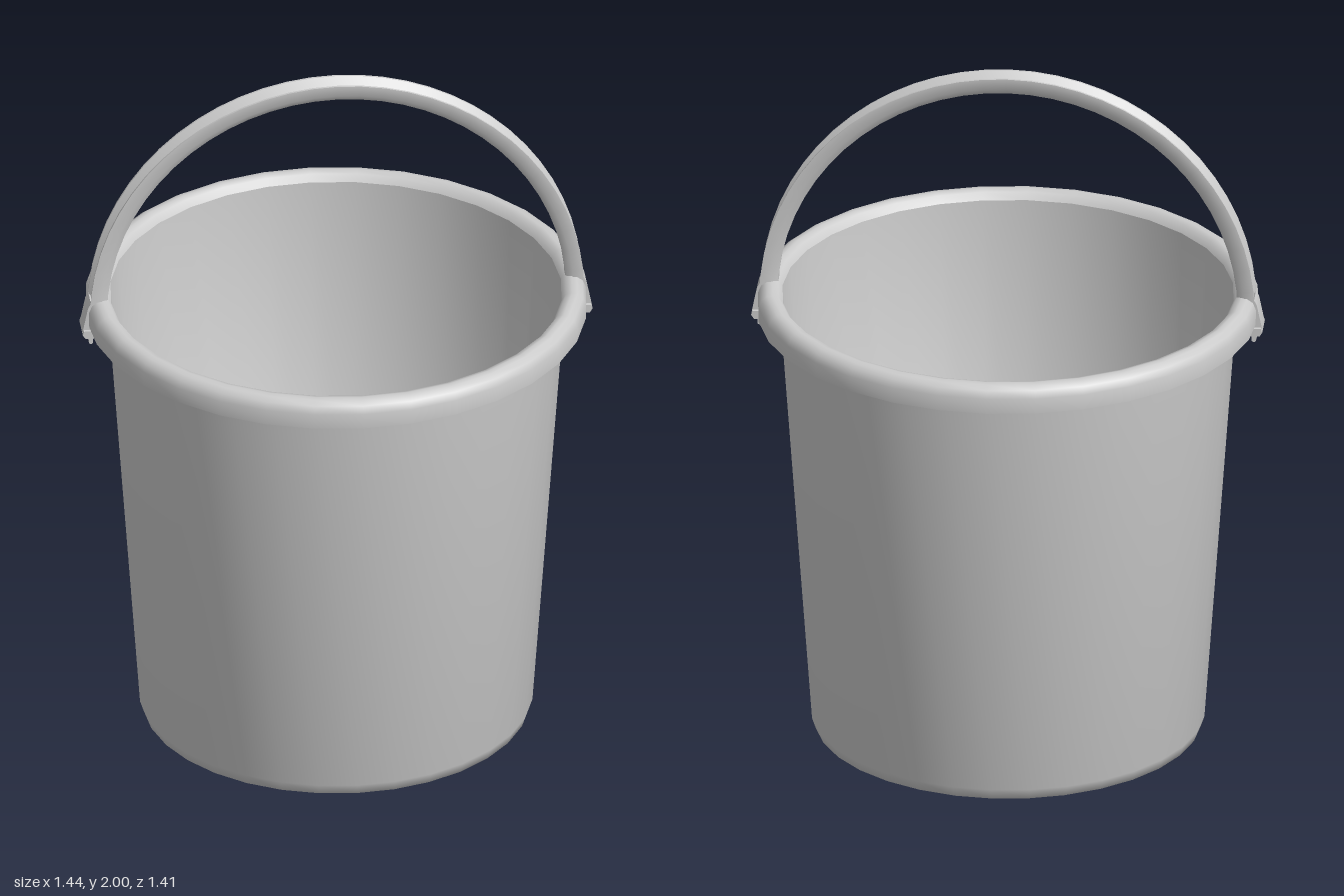
import * as THREE from 'three';
import { toCreasedNormals } from 'three/addons/utils/BufferGeometryUtils.js';

const material = new THREE.MeshStandardMaterial({ color: 0xcccccc, side: THREE.DoubleSide });

function addMesh(parent, name, geometry, crease = 0.75) {
  const mesh = new THREE.Mesh(toCreasedNormals(geometry, crease), material);
  mesh.name = name;
  parent.add(mesh);
  return mesh;
}

const lathe = (points) =>
  new THREE.LatheGeometry(points.map(([r, y]) => new THREE.Vector2(r, y)), 32);

// Sweeps a closed (z, radial offset) section around a half circle in the xy plane
function sweepArch(section, radius, centreY, steps) {
  const positions = [], indices = [], n = section.length;
  for (let i = 0; i <= steps; i++) {
    const a = (Math.PI * i) / steps;
    for (const [z, r] of section) {
      positions.push((radius + r) * Math.cos(a), centreY + (radius + r) * Math.sin(a), z);
    }
  }
  for (let i = 0; i < steps; i++) {
    for (let j = 0; j < n; j++) {
      const a = i * n + j, b = i * n + ((j + 1) % n);
      indices.push(a, b, b + n, a, b + n, a + n);
    }
  }
  const geometry = new THREE.BufferGeometry();
  geometry.setAttribute('position', new THREE.Float32BufferAttribute(positions, 3));
  geometry.setIndex(indices);
  return geometry;
}

// Extrudes an xy outline symmetrically about z = 0
function extrudeCentred(outline, width) {
  const shape = new THREE.Shape(outline.map(([x, y]) => new THREE.Vector2(x, y)));
  const geometry = new THREE.ExtrudeGeometry(shape, { depth: width, bevelEnabled: false });
  return geometry.translate(0, 0, -width / 2);
}

export function createModel() {
  const bucket = new THREE.Group();
  bucket.name = 'bucket';

  // Tapered wall with rounded bottom edge and inner floor
  addMesh(bucket, 'body', lathe([
    [0, 0], [0.525, 0], [0.545, 0.01], [0.555, 0.04], [0.647, 1.32],
    [0.637, 1.325], [0.54, 0.06], [0.515, 0.03], [0, 0.03],
  ]), 0.9);

  // Rolled lip, hollow beneath, hanging outside the wall
  addMesh(bucket, 'rim', lathe([
    [0.645, 1.3], [0.648, 1.325], [0.68, 1.33], [0.695, 1.315], [0.698, 1.27],
    [0.706, 1.27], [0.707, 1.315], [0.698, 1.337], [0.682, 1.348], [0.667, 1.35],
    [0.65, 1.345], [0.637, 1.325],
  ]));

  // Grooved arched handle
  const handle = new THREE.Group();
  handle.name = 'handle';
  bucket.add(handle);
  addMesh(handle, 'handleArch', sweepArch([
    [0.035, 0], [0.028, 0], [0, -0.032], [-0.028, 0], [-0.035, 0],
    [-0.035, -0.03], [-0.018, -0.05], [0.018, -0.05], [0.035, -0.03],
  ], 0.7, 1.3, 32));

  // Flared clips hooked over the rim, one per side
  for (const [side, angle] of [['left', 0], ['right', Math.PI]]) {
    const clip = new THREE.Group();
    clip.name = side + 'Clip';
    clip.rotation.y = angle;
    handle.add(clip);
    addMesh(clip, 'clipPlate', extrudeCentred([
      [0.688, 1.25], [0.712, 1.24], [0.722, 1.25], [0.72, 1.262],
      [0.706, 1.33], [0.698, 1.345], [0.688, 1.335],
    ], 0.07));
    addMesh(clip, 'clipFoot', extrudeCentred([
      [0.688, 1.238], [0.714, 1.238], [0.722, 1.25], [0.718, 1.262], [0.688, 1.262],
    ], 0.09));
    addMesh(clip, 'clipPeg', extrudeCentred([
      [0.692, 1.222], [0.698, 1.218], [0.704, 1.222], [0.704, 1.25], [0.692, 1.25],
    ], 0.08));
  }

  return bucket;
}
